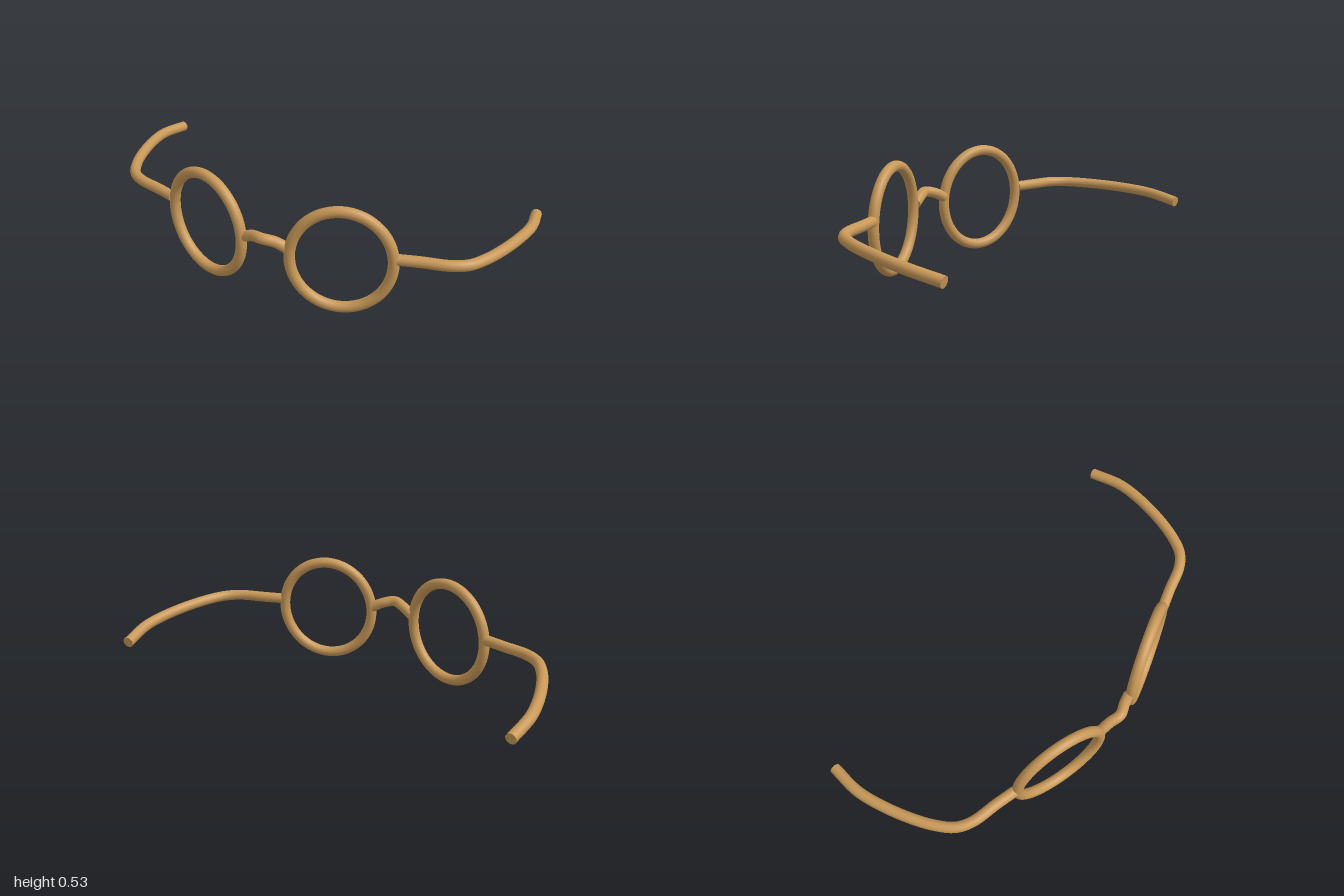
import * as THREE from 'three';

const RADIUS = 0.025;
const material = new THREE.MeshStandardMaterial({ color: 0xc89858 });

// Round wire following smooth points, with flat caps on open ends
function wire(name, points, closed = false) {
  const group = new THREE.Group();
  group.name = name;
  const curve = new THREE.CatmullRomCurve3(points.map(p => new THREE.Vector3(...p)), closed);
  const tube = new THREE.Mesh(new THREE.TubeGeometry(curve, closed ? 96 : 64, RADIUS, 20, closed), material);
  tube.name = name + 'Wire';
  group.add(tube);
  if (!closed) {
    for (const t of [0, 1]) {
      const cap = new THREE.Mesh(new THREE.CircleGeometry(RADIUS, 20), material);
      const outward = curve.getTangentAt(t).multiplyScalar(t ? 1 : -1);
      cap.position.copy(curve.getPointAt(t));
      cap.quaternion.setFromUnitVectors(new THREE.Vector3(0, 0, 1), outward);
      cap.name = name + 'End';
      group.add(cap);
    }
  }
  return group;
}

export function createModel() {
  const model = new THREE.Group();
  model.name = 'spectacles';

  for (const [side, s] of [['left', 1], ['right', -1]]) {
    // Oval rim, angled back towards the temple
    const rim = [];
    for (let i = 0; i < 16; i++) {
      const a = (i / 16) * Math.PI * 2;
      const c = Math.cos(a), h = Math.sin(a);
      rim.push([s * (0.33 + 0.213 * c), 0.265 + 0.24 * h, 0.334 - 0.066 * c - 0.007 * h]);
    }
    model.add(wire(side + 'Rim', rim, true));

    // Temple arm, sweeping out, then back and slightly down
    const arm = [
      [0.555, 0.297, 0.263], [0.65, 0.297, 0.235], [0.77, 0.296, 0.203],
      [0.835, 0.293, 0.16], [0.885, 0.289, 0.08], [0.93, 0.282, -0.04],
      [0.965, 0.27, -0.19], [0.975, 0.257, -0.3], [0.957, 0.23, -0.447],
    ];
    model.add(wire(side + 'Arm', arm.map(([x, y, z]) => [s * x, y, z])));
  }

  // Arched nose bridge
  model.add(wire('bridge', [
    [-0.108, 0.293, 0.392], [-0.055, 0.32, 0.406], [0, 0.332, 0.424],
    [0.055, 0.32, 0.406], [0.108, 0.293, 0.392],
  ]));
  return model;
}
